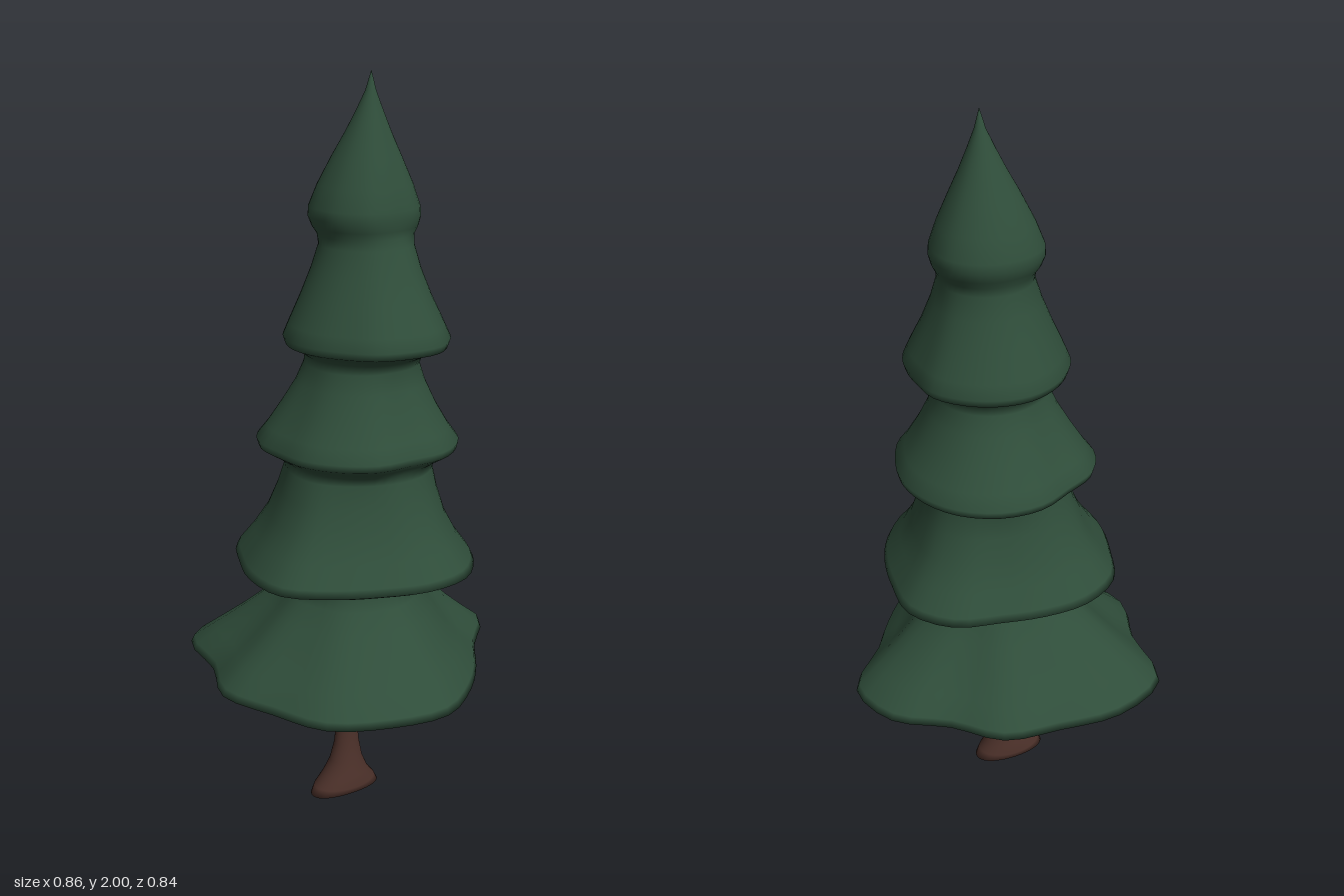
import * as THREE from 'three';

const SEGMENTS = 48;
const lerp = THREE.MathUtils.lerp;

// Skin a stack of closed rings, listed from bottom to top
function loft(rings) {
  const positions = [], index = [];
  rings.forEach(ring => ring.forEach(p => positions.push(p.x, p.y, p.z)));
  for (let i = 0; i < rings.length - 1; i++) {
    for (let j = 0; j < SEGMENTS; j++) {
      const a = i * SEGMENTS + j, b = i * SEGMENTS + (j + 1) % SEGMENTS;
      const c = a + SEGMENTS, d = b + SEGMENTS;
      index.push(a, c, b, b, c, d);
    }
  }
  const geometry = new THREE.BufferGeometry();
  geometry.setAttribute('position', new THREE.Float32BufferAttribute(positions, 3));
  geometry.setIndex(index);
  geometry.computeVertexNormals();
  return geometry;
}

// Uneven skirt outlines: radius at 16 even angles, from +x towards +z
const outlines = [
  [.425, .335, .33, .36, .415, .42, .435, .41, .435, .41, .49, .455, .40, .40, .365, .42],
  [.305, .30, .315, .335, .325, .31, .325, .36, .345, .33, .345, .33, .305, .30, .335, .34],
  [.27, .26, .265, .26, .24, .255, .255, .255, .25, .27, .275, .26, .28, .29, .29, .28],
  [.22, .23, .24, .25, .235, .225, .205, .20, .20, .20, .20, .205, .215, .22, .225, .23],
  [.165, .16, .15, .13, .125, .125, .12, .118, .118, .125, .135, .14, .145, .155, .165, .17],
];

// Profile of each tier: [height, fraction of outline, unevenness]
const tiers = [
  [[.345, .11, 0], [.365, .13, 0], [.38, .2, 0], [.39, .35, .3], [.393, .6, .7], [.395, .92, 1],
    [.405, 1, 1], [.425, .98, 1], [.47, .85, 1], [.52, .72, .9], [.58, .58, .7], [.63, .48, .5], [.66, .45, .3]],
  [[.68, .58, .2], [.695, .75, .6], [.705, .9, 1], [.72, 1, 1], [.74, .97, 1], [.79, .85, 1],
    [.85, .74, .8], [.92, .66, .6], [.98, .61, .4]],
  [[1, .76, .4], [1.02, .88, .8], [1.035, .98, 1], [1.055, 1, 1], [1.09, .9, 1], [1.15, .76, .9],
    [1.21, .64, .6], [1.26, .57, .4]],
  [[1.285, .71, .4], [1.305, .85, .8], [1.315, .97, 1], [1.335, 1, 1], [1.37, .93, 1], [1.44, .78, .8],
    [1.51, .65, .6], [1.57, .565, .4]],
  [[1.595, .88, .5], [1.615, .95, .8], [1.64, 1, 1], [1.665, .99, 1], [1.72, .85, .9], [1.79, .62, .8],
    [1.85, .41, .6], [1.9, .25, .4], [1.95, .1, 0], [2, 0, 0]],
];

function foliageRings() {
  const rings = [];
  tiers.forEach((rows, t) => {
    const radii = outlines[t];
    const mean = radii.reduce((s, r) => s + r, 0) / radii.length;
    const curve = new THREE.CatmullRomCurve3(radii.map((r, i) => {
      const a = i * Math.PI / 8;
      return new THREE.Vector3(r * Math.cos(a), 0, r * Math.sin(a));
    }), true);
    for (const [y, k, w] of rows) {
      // The axis leans slightly towards +x
      const cx = y < .4 ? -.04 : -.01 + (y - .66) * .034;
      rings.push(Array.from({ length: SEGMENTS }, (_, j) => {
        const a = j / SEGMENTS * Math.PI * 2, p = curve.getPoint(j / SEGMENTS);
        const x = lerp(cx + mean * Math.cos(a), p.x, w);
        const z = lerp(mean * Math.sin(a), p.z, w);
        return new THREE.Vector3(x * k + cx * (1 - k), y, z * k);
      }));
    }
  });
  return rings;
}

// Trunk sections: [height, centre x, half width, half depth]
const trunkRows = [
  [.012, -.05, 0, 0], [.008, -.05, .08, .045], [.015, -.052, .106, .06], [.03, -.052, .094, .061],
  [.06, -.049, .068, .053], [.1, -.046, .048, .041], [.15, -.044, .037, .031], [.2, -.043, .032, .027],
  [.26, -.042, .032, .026], [.31, -.041, .036, .03], [.345, -.04, .045, .045], [.365, -.04, .055, .055],
];

function trunkRings() {
  return trunkRows.map(([y, cx, rx, rz]) => Array.from({ length: SEGMENTS }, (_, j) => {
    const a = j / SEGMENTS * Math.PI * 2;
    // Root tips dip to the ground at both ends
    const dip = y < .02 ? .008 * Math.cos(a) ** 2 * rx / .106 : 0;
    return new THREE.Vector3(cx + rx * Math.cos(a), y - dip, rz * Math.sin(a));
  }));
}

export function createModel() {
  const needleGreen = new THREE.MeshStandardMaterial({ color: 0x2f4d3a });
  needleGreen.name = 'needleGreen';
  const barkBrown = new THREE.MeshStandardMaterial({ color: 0x4b3029 });
  barkBrown.name = 'barkBrown';

  const foliage = new THREE.Mesh(loft(foliageRings()), needleGreen);
  foliage.name = 'foliage';
  const trunk = new THREE.Mesh(loft(trunkRings()), barkBrown);
  trunk.name = 'trunk';

  const tree = new THREE.Group();
  tree.name = 'firTree';
  tree.add(foliage, trunk);
  return tree;
}
